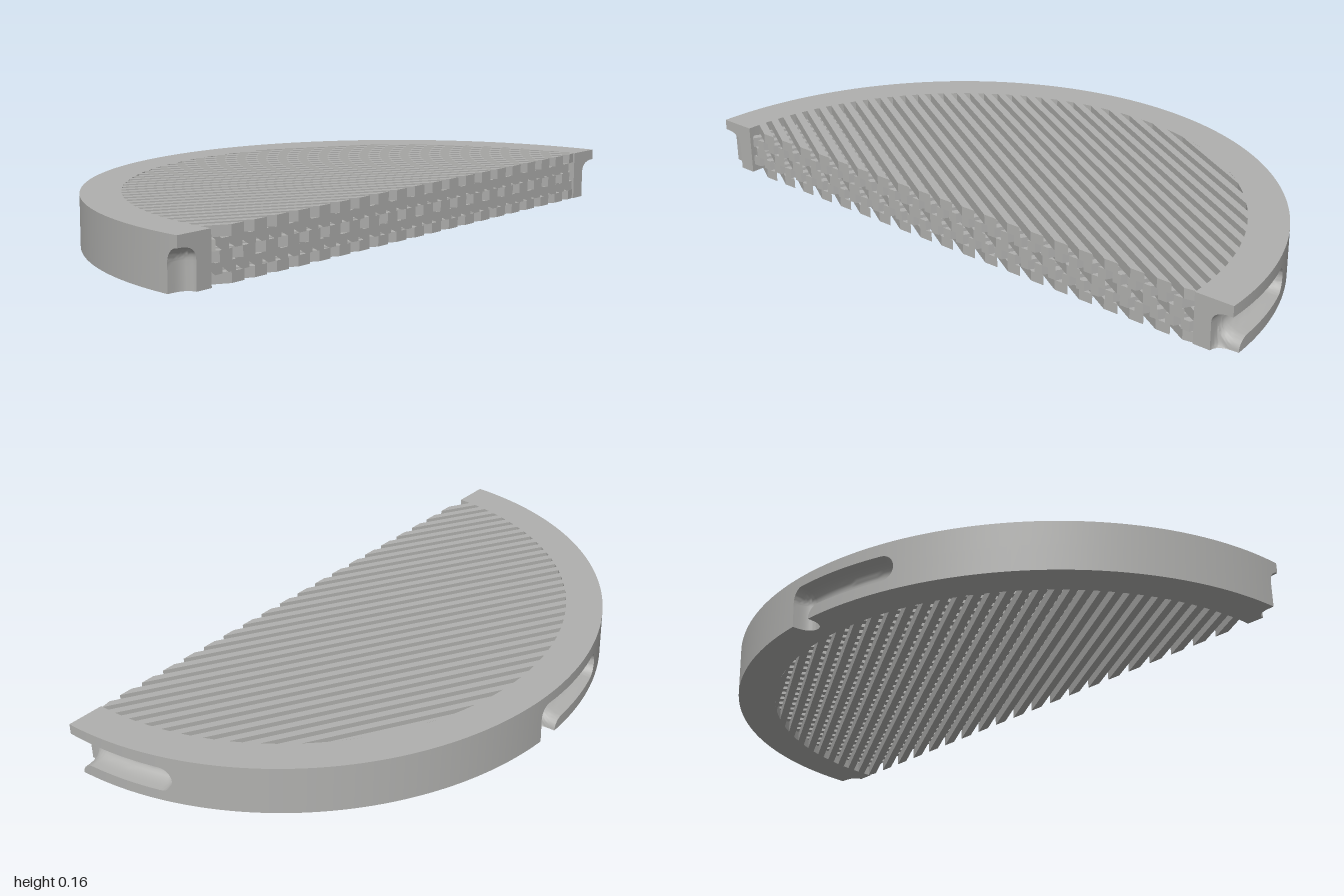
import * as THREE from 'three';
import { mergeGeometries, toCreasedNormals } from 'three/addons/utils/BufferGeometryUtils.js';

const H = 0.155;          // overall height
const INNER = 0.88;       // inside radius of the rim
const CUT_Z = 0.5;        // plane of the flat cut face
const SLOT_DEPTH = 0.066;
const ENTRY = 0.037;      // half width of a slot entry, in radians
const SLOT_END = 0.358;   // angle where a slot closes
const STEPS = 16;         // points across a slot

// Slot outline at angle a from its entry: lower and upper edge, depth, open-bottom amount
function slotAt(a) {
  const none = { lo: 0.08, mid: 0.08, hi: 0.08, depth: 0, open: 0 };
  if (a < -ENTRY || a > SLOT_END) return none;
  const f = Math.max(a, 0) / SLOT_END;
  const mid = 0.08 - 0.006 * f;
  let up = 0.042 - 0.002 * f, down = up, depth = SLOT_DEPTH, open = 0, lo;
  if (a < 0) {                                        // closed side of the entry
    const c = Math.max(0, 1 - (a / ENTRY) ** 2);
    return { lo: 0, mid, hi: mid + up * Math.sqrt(c), depth: depth * c ** 0.3, open: 1 };
  }
  const capStart = SLOT_END - 0.04;
  if (a > capStart) {                                 // rounded far end
    const c = Math.max(0, 1 - ((a - capStart) / 0.04) ** 2);
    up *= Math.sqrt(c); down *= Math.sqrt(c); depth *= c ** 0.3;
  }
  lo = mid - down;
  if (a < ENTRY) {                                    // entry, open at the bottom
    lo = 0;
    open = Math.max(0, 1 - (a / ENTRY) ** 2) ** 0.3;
  } else if (a < 0.08) {                              // rounded lip
    const k = (0.08 - a) / (0.08 - ENTRY);
    lo *= Math.sqrt(Math.max(0, 1 - k * k));
  }
  return { lo, mid, hi: mid + up, depth, open };
}

// Rim cross-section as [radius, height] points, from inside bottom to inside top
function rimProfile(angle) {
  const a = angle - Math.round((angle - 0.16) / (Math.PI / 2)) * (Math.PI / 2);
  const s = slotAt(a);
  const notch = [];
  for (let i = 0; i <= STEPS; i++) {
    const t = -Math.PI / 2 + Math.PI * i / STEPS;
    const v = Math.sin(t);
    const y = v < 0 ? s.mid + (s.mid - s.lo) * v : s.mid + (s.hi - s.mid) * v;
    let d = Math.max(0, 1 - Math.abs(v) ** 2.6) ** (1 / 2.6);
    if (v < 0) d = d * (1 - s.open) + s.open;
    notch.push([1 - s.depth * d, y]);
  }
  const bottom = s.lo <= 0 ? notch[0][0] : 1;
  return [[INNER, 0], [bottom, 0], ...notch, [1, H], [INNER, H]];
}

function rimAngles() {
  const list = [];
  for (let i = 0; i <= 120; i++) list.push(Math.PI * i / 120);
  for (let q = 0; q < 3; q++) {
    const base = q * Math.PI / 2;
    for (let i = 0; i <= 10; i++) {
      const ease = Math.sin(i / 10 * Math.PI / 2);
      list.push(base - ENTRY * ease, base + ENTRY * ease);
      list.push(base + 0.08 - (0.08 - ENTRY) * ease);
      list.push(base + SLOT_END - 0.04 + 0.04 * ease);
    }
  }
  return list.filter(a => a >= 0 && a <= Math.PI)
    .sort((a, b) => a - b)
    .filter((a, i, all) => i === 0 || a - all[i - 1] > 1e-5);
}

function rimGeometry() {
  const angles = rimAngles();
  const pos = [], index = [];
  let n = 0;
  angles.forEach((a, j) => {
    const profile = rimProfile(a);
    n = profile.length;
    for (const [r, y] of profile) pos.push(r * Math.cos(a), y, CUT_Z - r * Math.sin(a));
    if (j === 0) return;
    for (let i = 0; i < n; i++) {
      const k = (i + 1) % n, p = (j - 1) * n, c = j * n;
      index.push(p + i, c + i, c + k, p + i, c + k, p + k);
    }
  });
  const geo = new THREE.BufferGeometry();
  geo.setAttribute('position', new THREE.Float32BufferAttribute(pos, 3));
  geo.setIndex(index);
  return toCreasedNormals(geo, 0.6);
}

// Flat end of the rim on the cut plane
function rimEnd(angle, side) {
  const pts = rimProfile(angle).map(([r, y]) => new THREE.Vector2(side * r, y))
    .filter((p, i, all) => i === 0 || p.distanceTo(all[i - 1]) > 1e-5);
  return new THREE.ShapeGeometry(new THREE.Shape(pts)).translate(0, 0, CUT_Z);
}

// One layer of parallel bars trimmed to the half disc
function barLayer(direction, shift, y, height) {
  const pitch = 0.0435, width = 0.0235, R = INNER + 0.003;
  const dx = Math.cos(direction), dy = Math.sin(direction);
  const span = p => {
    const half = Math.sqrt(Math.max(0, R * R - p * p));
    const cut = -p * dx / dy;
    return dy > 0 ? [Math.max(-half, cut), half] : [-half, Math.min(half, cut)];
  };
  const at = (p, t) => new THREE.Vector2(-dy * p + dx * t, dx * p + dy * t);
  const bars = [];
  for (let i = -22; i <= 22; i++) {
    const p0 = (i + shift) * pitch - width / 2, p1 = p0 + width;
    if (p0 < -R || p1 > R) continue;
    const [a0, a1] = span(p0), [b0, b1] = span(p1);
    if (a1 - a0 < 0.01 || b1 - b0 < 0.01) continue;
    const shape = new THREE.Shape([at(p0, a0), at(p0, a1), at(p1, b1), at(p1, b0)]);
    bars.push(new THREE.ExtrudeGeometry(shape, { depth: height, bevelEnabled: false }));
  }
  return mergeGeometries(bars).rotateX(-Math.PI / 2).translate(0, y, CUT_Z);
}

export function createModel() {
  const group = new THREE.Group();
  const grey = new THREE.MeshStandardMaterial({ color: 0xb0b0ae });
  grey.name = 'grey';
  const add = (name, geo) => {
    const mesh = new THREE.Mesh(geo, grey);
    mesh.name = name;
    group.add(mesh);
  };

  // Half-ring rim with locking slots
  add('rim', rimGeometry());
  add('rimEndLeft', rimEnd(0, 1));
  add('rimEndRight', rimEnd(Math.PI, -1));

  // Five crossed layers of bars, every second pair staggered
  const layer = H / 5;
  [0, 0, 0.5, 0.5, 0].forEach((shift, i) => {
    const direction = i % 2 === 0 ? -Math.PI / 6 : Math.PI / 3;
    add('barLayer' + (i + 1), barLayer(direction, shift, i * layer, layer));
  });
  return group;
}
